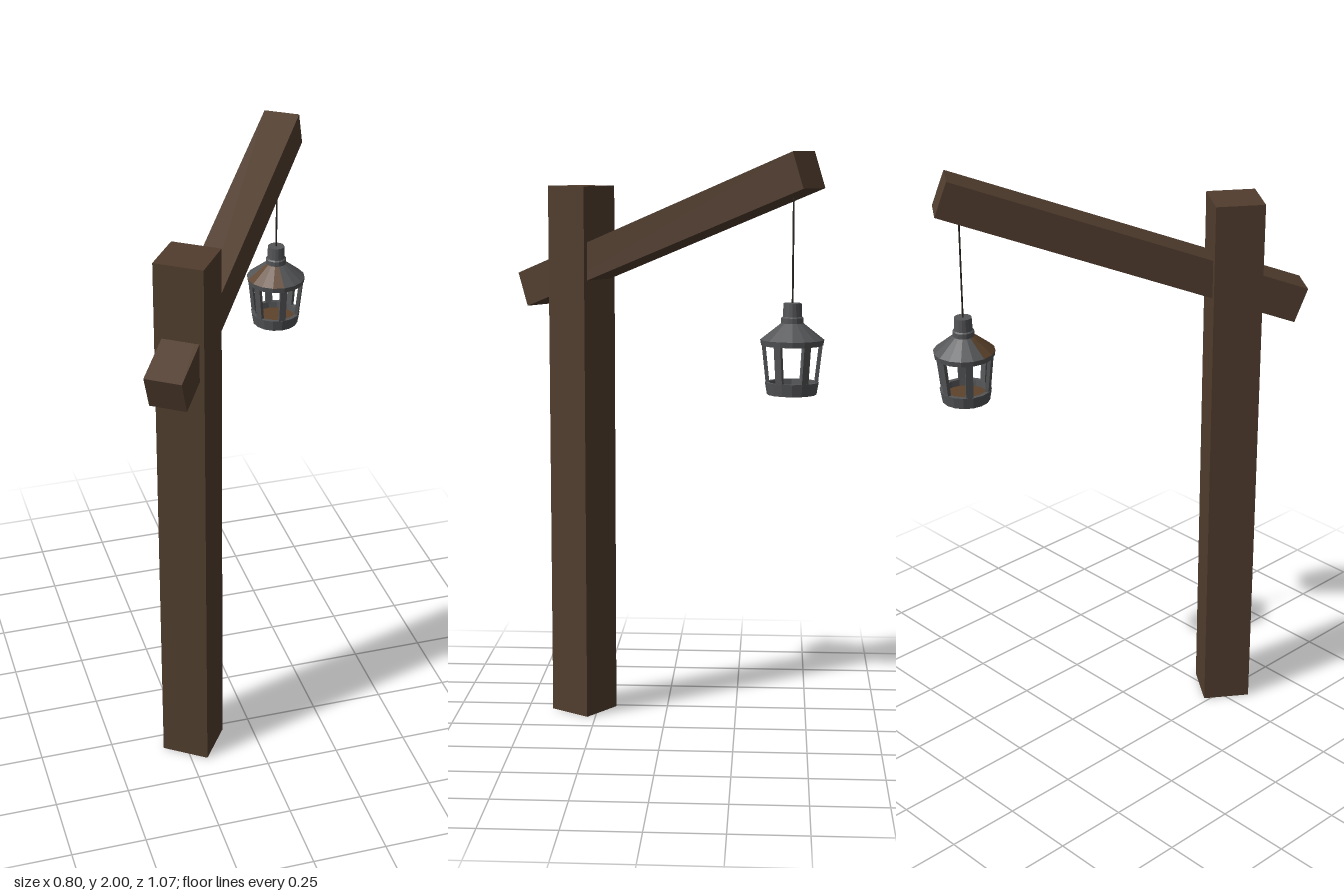
import * as THREE from 'three';

export function createModel() {
  const model = new THREE.Group();
  model.name = 'lanternPost';

  const material = (name, color, extra = {}) => {
    const m = new THREE.MeshStandardMaterial({ color, flatShading: true, ...extra });
    m.name = name;
    return m;
  };
  const wood = material('dark wood', 0x513d2e);
  const iron = material('grey iron', 0x545557, { side: THREE.DoubleSide });
  const rust = material('rusty iron', 0x5e432c, { side: THREE.DoubleSide });
  const cordMat = material('dark cord', 0x2b2623);

  const add = (parent, name, geometry, mat, x = 0, y = 0, z = 0) => {
    const mesh = new THREE.Mesh(geometry, mat);
    mesh.name = name;
    mesh.position.set(x, y, z);
    parent.add(mesh);
    return mesh;
  };

  // Square post and the sloping arm through it, both turned to the same heading
  const heading = THREE.MathUtils.degToRad(55);
  const post = add(model, 'post', new THREE.BoxGeometry(0.163, 1.88, 0.163), wood, -0.215, 0.94, 0.299);
  post.rotation.y = heading;
  const arm = add(model, 'arm', new THREE.BoxGeometry(1.25, 0.123, 0.123), wood, 0, 1.728, 0);
  arm.rotation.set(0, heading, THREE.MathUtils.degToRad(20), 'YXZ');

  // Lantern hung near the end of the arm
  const lantern = new THREE.Group();
  lantern.name = 'lantern';
  lantern.position.set(0.302, 0, -0.434);
  model.add(lantern);
  add(lantern, 'cord', new THREE.CylinderGeometry(0.003, 0.003, 0.36, 6), cordMat, 0, 1.69, 0);

  const ring = (points, start = 0, length = Math.PI * 2, sides = 16) =>
    new THREE.LatheGeometry(points.map(([r, y]) => new THREE.Vector2(r, y)), sides, start, length);

  // Cap with a hollow neck
  add(lantern, 'cap', ring([[0.036, 1.455], [0.036, 1.472], [0.031, 1.476], [0.029, 1.519], [0, 1.519]]), iron);

  // Conical roof, with a rusted sector towards the front right
  const slope = [[0.103, 1.402], [0.036, 1.455]];
  const turn = Math.PI / 8;
  add(lantern, 'roof', ring(slope, 0, turn * 12, 12), iron);
  add(lantern, 'roofRust', ring(slope, turn * 12, turn * 4, 4), rust);
  add(lantern, 'roofRim', ring([[0.088, 1.384], [0.1, 1.384], [0.103, 1.402]]), iron);
  add(lantern, 'roofLining', ring([[0.088, 1.384], [0.034, 1.45], [0, 1.45]]), rust);

  // Six bars leaning in towards the base
  for (let i = 0; i < 6; i++) {
    const pivot = new THREE.Group();
    pivot.name = 'barMount';
    pivot.rotation.y = (i * Math.PI) / 3;
    lantern.add(pivot);
    const bar = add(pivot, 'bar', new THREE.BoxGeometry(0.024, 0.14, 0.012), iron, 0, 1.325, 0.085);
    bar.rotation.x = 0.11;
  }

  // Base ring with a rusted floor
  add(lantern, 'base', ring([[0, 1.225], [0.08, 1.225], [0.087, 1.265], [0.073, 1.265], [0.071, 1.24]]), iron);
  add(lantern, 'floor', new THREE.CylinderGeometry(0.071, 0.071, 0.006, 16), rust, 0, 1.24, 0);

  return model;
}
